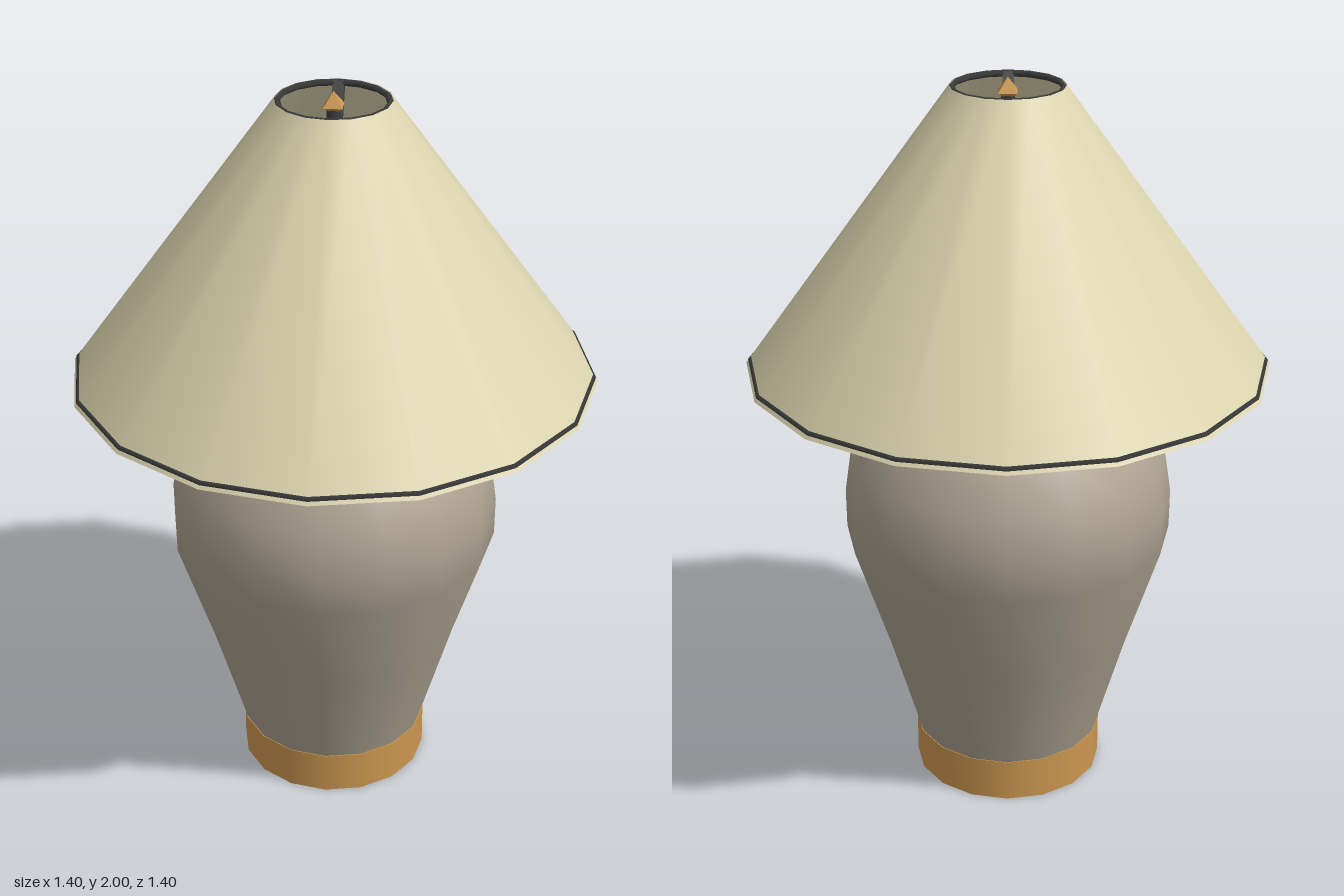
import * as THREE from 'three';

const SIDES = 16;
const material = (color, side = THREE.FrontSide) => new THREE.MeshStandardMaterial({ color, side });
const points = (list) => list.map(([x, y]) => new THREE.Vector2(x, y));

export function createModel() {
  const lamp = new THREE.Group();
  lamp.name = 'tableLamp';

  const brass = material(0xcb9750);
  const ceramic = material(0xaaa08f);
  const metal = material(0x3c3c3c);
  const fabric = material(0xdad3ad, THREE.DoubleSide);
  const glass = material(0xe2dcc2);

  const add = (name, geometry, mat, y = 0, parent = lamp) => {
    const mesh = new THREE.Mesh(geometry, mat);
    mesh.name = name;
    mesh.position.y = y;
    parent.add(mesh);
    return mesh;
  };

  // Square metal rods running through a list of [x, y] points, in the xy plane
  const rods = (name, path, size) => {
    const group = new THREE.Group();
    group.name = name;
    for (let i = 1; i < path.length; i++) {
      const [x0, y0] = path[i - 1];
      const [x1, y1] = path[i];
      const length = Math.hypot(x1 - x0, y1 - y0);
      const rod = add(name + 'Rod', new THREE.BoxGeometry(length + size * 0.4, size, size), metal, (y0 + y1) / 2, group);
      rod.position.x = (x0 + x1) / 2;
      rod.rotation.z = Math.atan2(y1 - y0, x1 - x0);
    }
    lamp.add(group);
    return group;
  };

  // Base, vase body and neck collar
  add('base', new THREE.CylinderGeometry(0.262, 0.262, 0.12, SIDES), brass, 0.06);
  add('body', new THREE.LatheGeometry(points([
    [0.26, 0.12], [0.35, 0.43], [0.447, 0.73], [0.448, 0.84],
    [0.43, 0.96], [0.345, 1.07], [0.26, 1.14],
  ]), SIDES), ceramic);
  add('collar', new THREE.CylinderGeometry(0.262, 0.262, 0.18, SIDES), brass, 1.23);

  // Socket and bulb
  add('socket', new THREE.CylinderGeometry(0.065, 0.065, 0.16, 8), metal, 1.4);
  const bulb = add('bulb', new THREE.LatheGeometry(points([
    [0.045, 1.46], [0.065, 1.5], [0.108, 1.57], [0.12, 1.63],
    [0.105, 1.69], [0.06, 1.735], [0, 1.75],
  ]), 8), glass);
  bulb.rotation.y = Math.PI / 8;

  // Harp standing on the collar
  rods('harp', [[-0.235, 1.32], [-0.235, 1.57], [-0.06, 1.88], [0.06, 1.88], [0.235, 1.57], [0.235, 1.32]], 0.035);

  // Recessed bar that carries the shade
  const spider = rods('shadeBar', [[-0.145, 1.965], [-0.085, 1.895], [0.085, 1.895], [0.145, 1.965]], 0.03);
  spider.rotation.y = Math.PI / 2;

  // Open conical shade with wire rims
  add('shade', new THREE.CylinderGeometry(0.15, 0.702, 0.76, SIDES, 1, true), fabric, 1.6);
  for (const [name, radius, y] of [['topRim', 0.143, 1.973], ['bottomRim', 0.688, 1.23]]) {
    const rim = add(name, new THREE.TorusGeometry(radius, 0.009, 4, SIDES), metal, y);
    rim.rotation.x = Math.PI / 2;
  }

  // Finial: stem with a faceted tip
  add('finialStem', new THREE.CylinderGeometry(0.018, 0.018, 0.07, 8), metal, 1.92);
  const profile = points([[0, 1.94], [0.035, 1.962], [0, 2]]);
  const tip = new THREE.LatheGeometry(profile, 4).toNonIndexed();
  tip.computeVertexNormals();
  add('finial', tip, brass).rotation.y = Math.PI / 4;

  return lamp;
}
